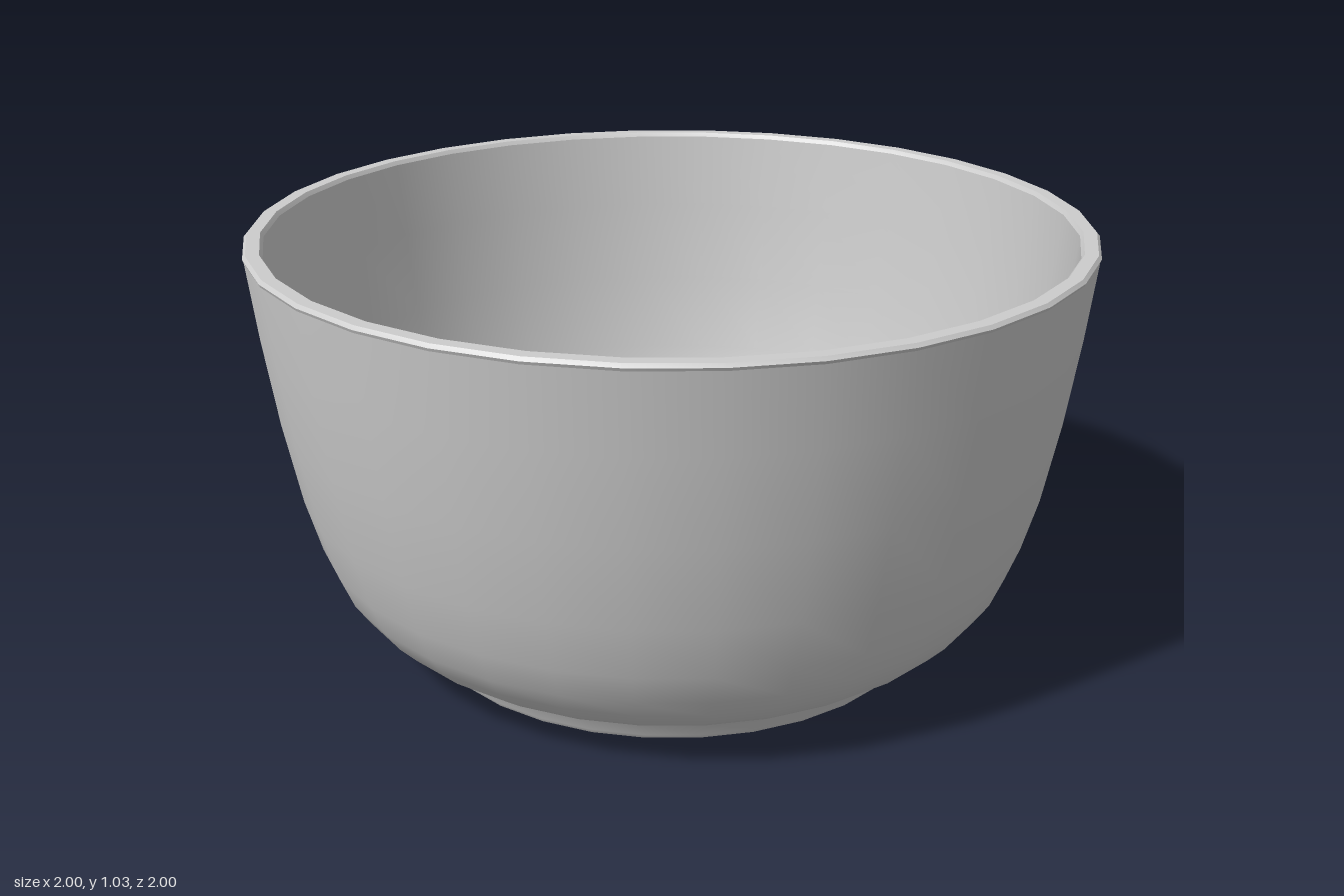
import * as THREE from 'three';
import { toCreasedNormals } from 'three/addons/utils/BufferGeometryUtils.js';

const SIDES = 32;

export function createModel() {
  const group = new THREE.Group();
  group.name = 'bowl';
  const ceramic = new THREE.MeshStandardMaterial({ color: 0xcccccc });
  ceramic.name = 'light grey ceramic';

  // Revolves a radius/height profile, keeping its sharp edges
  const turn = (name, profile) => {
    const points = profile.map(([r, y]) => new THREE.Vector2(r, y));
    const geometry = toCreasedNormals(new THREE.LatheGeometry(points, SIDES), 0.6);
    const mesh = new THREE.Mesh(geometry, ceramic);
    mesh.name = name;
    group.add(mesh);
  };

  // Recessed underside and foot ring
  turn('foot', [
    [0, 0.03], [0.588, 0.03], [0.598, 0.008], [0.608, 0],
    [0.632, 0], [0.64, 0.012], [0.648, 0.045], [0.665, 0.062],
  ]);

  // Outer wall
  turn('outerWall', [
    [0.665, 0.062], [0.72, 0.085], [0.765, 0.118], [0.805, 0.16], [0.84, 0.212],
    [0.872, 0.29], [0.908, 0.42], [0.946, 0.62], [0.976, 0.83], [0.997, 1.015],
  ]);

  // Bevelled rim
  turn('rim', [
    [0.997, 1.015], [1, 1.022], [0.993, 1.03], [0.962, 1.03], [0.955, 1.02],
  ]);

  // Inner wall and flat floor
  turn('inside', [
    [0.955, 1.02], [0.934, 0.83], [0.904, 0.62], [0.866, 0.42], [0.831, 0.3],
    [0.8, 0.23], [0.768, 0.18], [0.73, 0.14], [0.69, 0.113], [0.635, 0.095], [0, 0.095],
  ]);

  return group;
}
